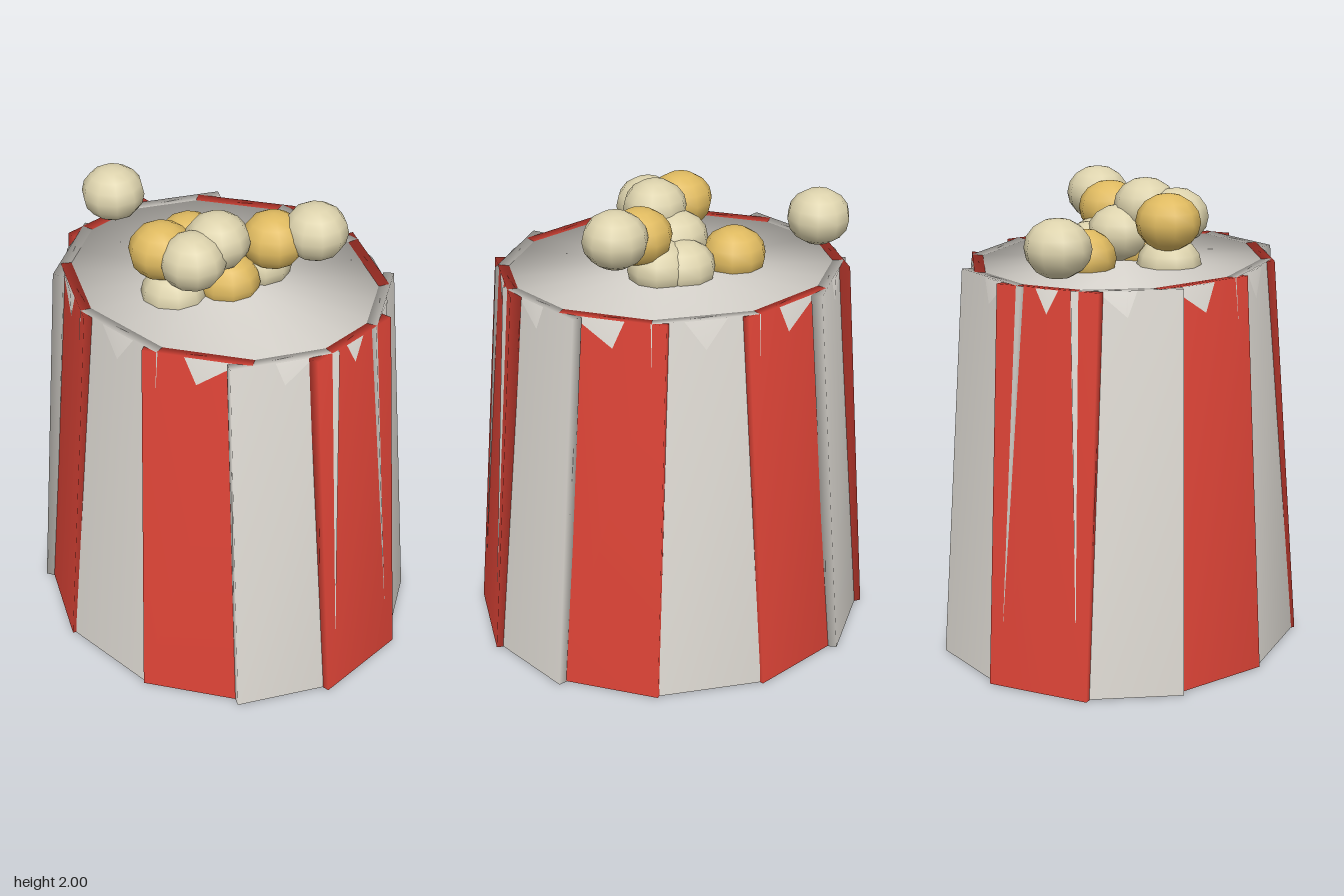
import * as THREE from 'three';
import { mergeVertices } from 'three/addons/utils/BufferGeometryUtils.js';

// weld corners so that shading runs smoothly over the edges
function welded(geometry) {
  geometry.deleteAttribute('normal');
  geometry.deleteAttribute('uv');
  const g = mergeVertices(geometry, 1e-4);
  g.computeVertexNormals();
  return g;
}

function flatColour(name, hex) {
  const m = new THREE.MeshStandardMaterial({ color: hex });
  m.name = name;
  return m;
}

export function createModel() {
  const model = new THREE.Group();
  model.name = 'popcornBucket';
  const red = flatColour('red', 0xde4437);
  const white = flatColour('white', 0xdedad3);
  const cream = flatColour('cream', 0xddd3ad);
  const gold = flatColour('gold', 0xdfba60);

  const add = (parent, name, geometry, material) => {
    const mesh = new THREE.Mesh(geometry, material);
    mesh.name = name;
    parent.add(mesh);
    return mesh;
  };

  // oval inner tub, closed at both ends
  const tub = new THREE.CylinderGeometry(1, 1, 1.655, 24);
  tub.scale(0.718, 1, 0.61);
  tub.translate(0, 0.8325, 0);
  add(model, 'innerTub', welded(tub), white);

  // twelve striped panels round the oval, leaning in at the top
  const width = 0.44, height = 1.665, thickness = 0.045;
  const panelShape = new THREE.BoxGeometry(width, height, thickness);
  panelShape.translate(0, height / 2, -thickness / 2);
  const panelGeometry = welded(panelShape);
  const panels = new THREE.Group();
  panels.name = 'stripedPanels';
  model.add(panels);
  for (let i = 0; i < 12; i++) {
    const angle = (i * Math.PI) / 6;
    const isRed = i % 2 === 1;
    const panel = add(panels, isRed ? 'redPanel' : 'whitePanel', panelGeometry, isRed ? red : white);
    panel.rotation.order = 'YXZ';
    panel.rotation.set(-Math.atan(0.13 / 1.66), angle, 0);
    panel.position.set(0.84 * Math.sin(angle), 0.004, 0.73 * Math.cos(angle));
  }

  // popcorn: slightly squashed balls heaped in the middle
  const kernel = new THREE.SphereGeometry(0.136, 10, 8);
  kernel.scale(1, 0.88, 1);
  const popcorn = new THREE.Group();
  popcorn.name = 'popcorn';
  model.add(popcorn);
  const heap = (name, material, spots) => {
    for (const [x, y, z] of spots) add(popcorn, name, kernel, material).position.set(x, y, z);
  };
  heap('creamPopcorn', cream, [
    [-0.64, 1.81, 0.015], [0.285, 1.88, -0.24], [0.05, 1.88, 0.09], [0.05, 1.845, 0.23],
    [-0.02, 1.77, 0], [-0.02, 1.69, -0.13], [0.08, 1.7, -0.13], [-0.05, 1.66, 0.24],
  ]);
  heap('goldPopcorn', gold, [
    [-0.255, 1.7, -0.055], [0.16, 1.84, -0.125], [-0.1, 1.845, 0.255], [0.07, 1.69, 0.05],
  ]);
  return model;
}
